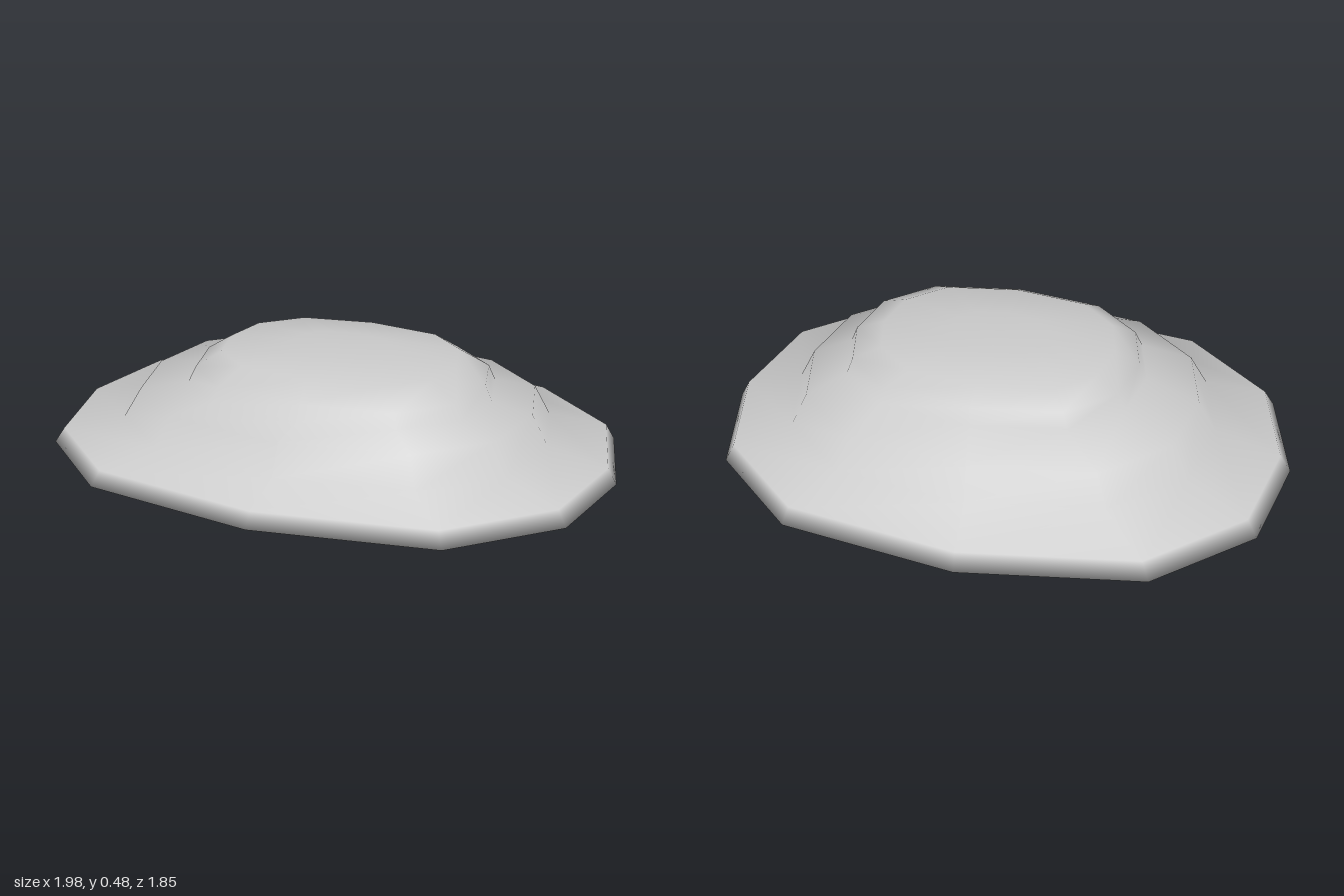
import * as THREE from 'three';

// Half of the twelve-sided plan outline [x, z]; the other half is its point reflection
const HALF = [[0.99, 0.255], [0.825, 0.625], [0.525, 0.885], [0.09, 0.925], [-0.47, 0.625], [-0.91, 0.17]];
const OUTLINE = [...HALF, ...HALF.map(([x, z]) => [-x, -z])];

// Stepped profile from underside to top: [scale of outline, height, shift in z]
const PROFILE = [
  [0, 0, 0],
  [0.35, 0.003, 0],
  [0.81, 0.025, 0],
  [1, 0.087, 0],
  [0.965, 0.145, 0.008],
  [0.75, 0.2, 0.03],
  [0.69, 0.31, 0.04],
  [0.53, 0.355, 0.09],
  [0.505, 0.41, 0.095],
  [0.41, 0.463, 0.075],
  [0.17, 0.48, 0.07],
  [0, 0.48, 0.07],
];

// Skin scaled copies of the outline, with a single shared vertex at each pole
function loftProfile() {
  const positions = [], index = [], starts = [];
  const n = OUTLINE.length;
  for (const [s, y, dz] of PROFILE) {
    starts.push(positions.length / 3);
    if (s === 0) positions.push(0, y, dz);
    else for (const [x, z] of OUTLINE) positions.push(x * s, y, z * s + dz);
  }
  const at = (ring, k) => starts[ring] + (PROFILE[ring][0] === 0 ? 0 : k % n);
  for (let r = 0; r < PROFILE.length - 1; r++) {
    for (let k = 0; k < n; k++) {
      const a = at(r, k), b = at(r, k + 1), c = at(r + 1, k), d = at(r + 1, k + 1);
      if (a !== b) index.push(a, c, b);
      if (c !== d) index.push(b, c, d);
    }
  }
  const geometry = new THREE.BufferGeometry();
  geometry.setAttribute('position', new THREE.Float32BufferAttribute(positions, 3));
  geometry.setIndex(index);
  geometry.computeVertexNormals();
  return geometry;
}

export function createModel() {
  const model = new THREE.Group();
  model.name = 'steppedMound';
  const body = new THREE.Mesh(loftProfile(), new THREE.MeshStandardMaterial({ color: 0xcccccc }));
  body.name = 'tieredBody';
  model.add(body);
  return model;
}
